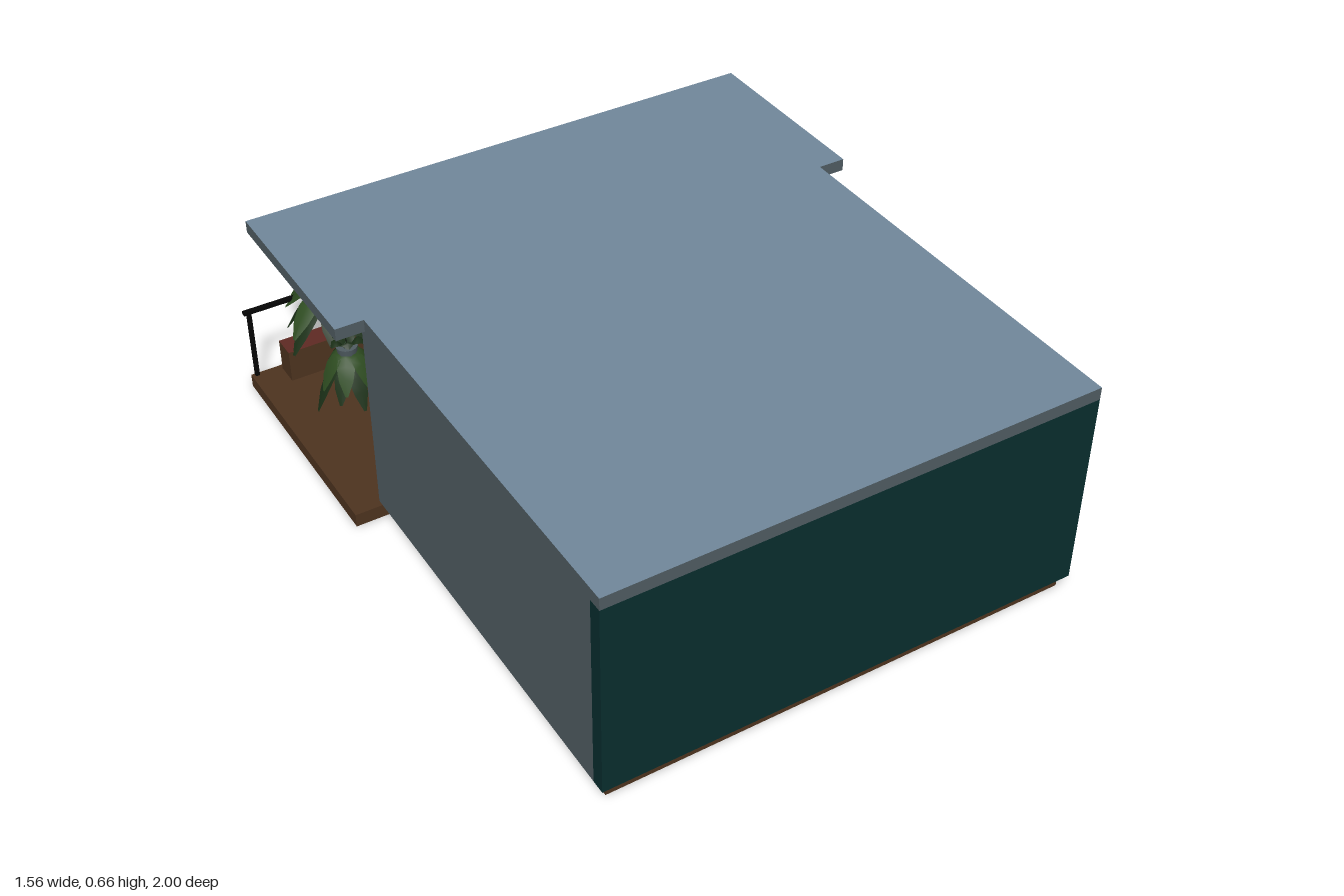
import * as THREE from 'three';

const mat = (name, color, double) => {
  const m = new THREE.MeshStandardMaterial({ color });
  m.name = name;
  if (double) m.side = THREE.DoubleSide;
  return m;
};

export function createModel() {
  const slate = mat('slate', 0x70879a);
  const grey = mat('grey', 0x505c62);
  const teal = mat('teal', 0x082d2e);
  const wood = mat('wood', 0x4d331f);
  const red = mat('brickRed', 0x5e2a23, true);
  const black = mat('blackMetal', 0x060606);
  const green = mat('leafGreen', 0x2d4b20, true);
  const darkGreen = mat('darkLeafGreen', 0x1b3017, true);

  const model = new THREE.Group();
  model.name = 'terraceHouse';

  const add = (name, geo, material, x = 0, y = 0, z = 0, parent = model) => {
    const m = new THREE.Mesh(geo, material);
    m.name = name;
    m.position.set(x, y, z);
    parent.add(m);
    return m;
  };
  // box given by its limits on each axis
  const box = (name, material, [x0, x1], [y0, y1], [z0, z1], parent) =>
    add(name, new THREE.BoxGeometry(x1 - x0, y1 - y0, z1 - z0), material,
      (x0 + x1) / 2, (y0 + y1) / 2, (z0 + z1) / 2, parent);
  const group = (name, x = 0, y = 0, z = 0) => {
    const g = new THREE.Group();
    g.name = name;
    g.position.set(x, y, z);
    model.add(g);
    return g;
  };

  // floors
  box('houseFloor', wood, [-0.68, 0.68], [0, 0.04], [-0.17, 0.98]);
  box('deck', wood, [-0.78, 0.78], [0, 0.04], [-0.89, -0.17]);

  // roof: slate top, grey edges, wooden soffit
  const roofFaces = [grey, grey, slate, wood, grey, grey];
  box('houseRoof', roofFaces, [-0.7, 0.7], [0.622, 0.658], [-0.17, 1]);
  box('terraceRoof', roofFaces, [-0.78, 0.78], [0.622, 0.658], [-0.745, -0.17]);
  box('terraceSoffit', wood, [-0.69, 0.69], [0.617, 0.622], [-0.7, -0.17]);
  box('houseCeiling', wood, [-0.65, 0.65], [0.617, 0.622], [-0.17, 0.96]);

  // walls
  box('frontWall', teal, [-0.7, 0.7], [0.04, 0.622], [0.96, 1]);
  box('leftWallOuter', wood, [0.685, 0.7], [0.04, 0.622], [-0.188, 0.96]);
  box('leftWallInner', red, [0.65, 0.685], [0.04, 0.622], [-0.19, 0.96]);
  box('rightWallOuter', [grey, grey, grey, grey, grey, slate], [-0.7, -0.67], [0.04, 0.622], [-0.19, 0.96]);
  box('rightWallInner', [slate, slate, slate, slate, wood, wood], [-0.67, -0.65], [0.04, 0.622], [-0.19, 0.96]);

  // red wedge on the left wall
  const wedge = new THREE.Shape([
    new THREE.Vector2(-0.96, 0.04), new THREE.Vector2(0.188, 0.04), new THREE.Vector2(0.188, 0.19),
  ]);
  add('wallWedge', new THREE.ShapeGeometry(wedge), red, 0.7015).rotation.y = Math.PI / 2;

  // posts of the open glass front
  for (const x of [-0.43, -0.17, 0.17, 0.43, 0.638])
    box('doorPost', black, [x - 0.011, x + 0.011], [0.04, 0.616], [-0.19, -0.168]);

  // railing
  box('handrail', black, [-0.78, 0.78], [0.26, 0.27], [-0.89, -0.875]);
  for (let i = -2; i <= 2; i++)
    box('railPost', black, [i * 0.382 - 0.006, i * 0.382 + 0.006], [0.04, 0.26], [-0.888, -0.876]);

  // one broad leaf: rises by lift, then droops by drop at its tip
  const leaf = (reach, lift, drop, width) => {
    const g = new THREE.PlaneGeometry(1, 1, 2, 5);
    const p = g.attributes.position;
    for (let i = 0; i < p.count; i++) {
      const t = p.getY(i) + 0.5, s = p.getX(i) * 2;
      const w = width * Math.pow(Math.sin(Math.PI * (0.03 + 0.94 * Math.pow(t, 1.3))), 0.8);
      p.setXYZ(i, s * w, lift * Math.sin(t * Math.PI * 0.6) - drop * t * t - Math.abs(s) * w * 0.35, t * reach);
    }
    g.computeVertexNormals();
    return g;
  };
  // rings of leaves: count, start height, reach, lift, drop, half width, material
  const plant = (name, x, y, z, rings, turn) => {
    const g = group(name, x, y, z);
    g.rotation.y = turn;
    rings.forEach(([n, h, reach, lift, drop, width, material], r) => {
      for (let i = 0; i < n; i++) {
        const k = 0.88 + 0.12 * Math.sin(i * 2.4 + r + turn);
        add('leaf', leaf(reach * k, lift, drop * k, width), material, 0, h, 0, g)
          .rotation.y = (i + r * 0.4) / n * Math.PI * 2;
      }
    });
  };

  // planters with bushes
  const planterSides = [red, wood, red, wood, wood, wood];
  [-0.53, 0, 0.53].forEach((x, i) => {
    box('planter', planterSides, [x - 0.163, x + 0.163], [0.05, 0.15], [-0.86, -0.79]);
    plant('planterBush', x, 0.15, -0.83, [
      [8, 0.11, 0.16, 0.04, 0.16, 0.03, darkGreen],
      [7, 0.16, 0.175, 0.03, 0.13, 0.032, green],
      [6, 0.19, 0.13, 0.03, 0.1, 0.03, green],
      [4, 0.16, 0.055, 0.09, 0.02, 0.018, green],
    ], i * 1.3 + 0.3);
    add('bushStem', new THREE.CylinderGeometry(0.007, 0.01, 0.2, 6), wood, x, 0.24, -0.83);
  });

  // hanging plants
  [-0.68, -0.28, 0.28, 0.68].forEach((x, i) => {
    plant('hangingPlant', x, 0.4, -0.36, [
      [8, 0.0, 0.1, 0.03, 0.16, 0.024, darkGreen],
      [7, 0.03, 0.09, 0.03, 0.13, 0.024, green],
      [5, 0.03, 0.05, 0.06, 0.03, 0.018, darkGreen],
    ], i * 0.9);
    add('hangingPot', new THREE.CylinderGeometry(0.03, 0.022, 0.05, 12), grey, x, 0.425, -0.36);
    add('hangingCord', new THREE.CylinderGeometry(0.001, 0.001, 0.175, 5), black, x, 0.532, -0.36);
    add('lowerHook', new THREE.SphereGeometry(0.006, 8, 6), black, x, 0.56, -0.37);
    add('upperHook', new THREE.SphereGeometry(0.006, 8, 6), black, x + Math.sign(x) * 0.045, 0.58, -0.37);
  });

  // loungers: seat and back are tilted slabs in the y-z plane
  const slab = (name, w, y0, z0, y1, z1, parent) => {
    const m = add(name, new THREE.BoxGeometry(w, 0.017, Math.hypot(y1 - y0, z1 - z0)), wood,
      0, (y0 + y1) / 2, (z0 + z1) / 2, parent);
    m.rotation.x = -Math.atan2(y1 - y0, z1 - z0);
  };
  for (const x of [-0.34, 0.34]) {
    const g = group('lounger', x);
    slab('seat', 0.14, 0.062, -0.72, 0.105, -0.4, g);
    slab('backrest', 0.14, 0.09, -0.45, 0.22, -0.36, g);
    for (const s of [-0.06, 0.06])
      box('leg', black, [s - 0.005, s + 0.005], [0.04, 0.07], [-0.665, -0.655], g);
  }

  // side table
  add('tableTop', new THREE.CylinderGeometry(0.07, 0.07, 0.008, 24), black, 0, 0.136, -0.56);
  add('tableLeg', new THREE.CylinderGeometry(0.005, 0.005, 0.095, 8), black, 0, 0.087, -0.56);
  add('cup', new THREE.CylinderGeometry(0.008, 0.006, 0.014, 10), black, 0.01, 0.147, -0.55);

  // low round tub, poufs and floor pot indoors
  add('tubWall', new THREE.CylinderGeometry(0.28, 0.28, 0.05, 32), teal, -0.28, 0.065, 0.4);
  add('tubRim', new THREE.TorusGeometry(0.278, 0.008, 8, 40), red, -0.28, 0.09, 0.4).rotation.x = Math.PI / 2;
  add('tubSurface', new THREE.CylinderGeometry(0.27, 0.27, 0.006, 32), slate, -0.28, 0.09, 0.4);
  add('darkPouf', new THREE.SphereGeometry(0.05, 16, 10), black, 0.23, 0.08, 0.1).scale.y = 0.8;
  add('tealPouf', new THREE.CylinderGeometry(0.06, 0.06, 0.05, 20), teal, 0.3, 0.065, 0.44);
  add('floorPot', new THREE.CylinderGeometry(0.035, 0.025, 0.06, 14), grey, -0.58, 0.07, -0.1);

  return model;
}
